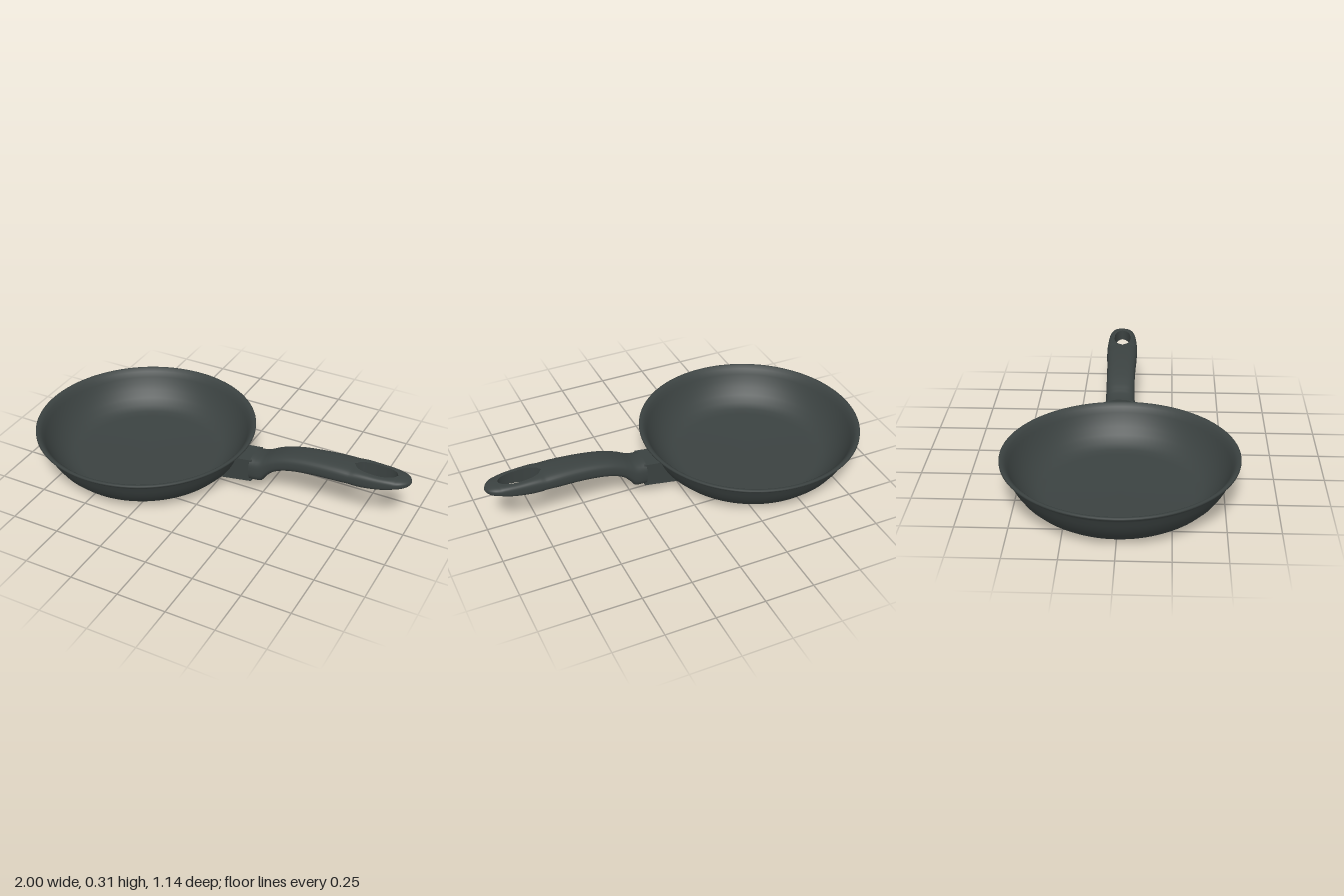
import * as THREE from 'three';
import { mergeVertices, mergeGeometries } from 'three/addons/utils/BufferGeometryUtils.js';

// Surface through rows of points; flip reverses the facing
function grid(rows, flip) {
  const n = rows[0].length, idx = [];
  for (let i = 0; i < rows.length - 1; i++) {
    for (let j = 0; j < n - 1; j++) {
      const a = i * n + j, b = a + 1, c = a + n, d = c + 1;
      idx.push(...(flip ? [a, c, b, b, c, d] : [a, b, c, b, d, c]));
    }
  }
  const g = new THREE.BufferGeometry().setFromPoints(rows.flat());
  g.setIndex(idx);
  return g;
}

// Handle stations: x, bottom y, top y, centre z, half width
const stations = [
  [0.19, 0.078, 0.215, -0.025, 0.080],
  [0.22, 0.079, 0.218, -0.026, 0.080],
  [0.25, 0.084, 0.226, -0.027, 0.078],
  [0.275, 0.115, 0.238, -0.028, 0.076],
  [0.31, 0.153, 0.255, -0.029, 0.075],
  [0.37, 0.182, 0.277, -0.030, 0.075],
  [0.45, 0.200, 0.294, -0.031, 0.076],
  [0.55, 0.211, 0.305, -0.032, 0.079],
  [0.65, 0.217, 0.310, -0.034, 0.083],
  [0.75, 0.225, 0.308, -0.036, 0.083],
  [0.84, 0.237, 0.305, -0.038, 0.078],
  [0.90, 0.247, 0.306, -0.040, 0.071],
  [0.95, 0.257, 0.306, -0.042, 0.059],
  [0.98, 0.266, 0.300, -0.044, 0.040],
  [0.995, 0.275, 0.291, -0.045, 0.018],
  [1.0, 0.283, 0.284, -0.045, 0.001],
];

function buildHandle(material) {
  const spline = (f) => new THREE.CatmullRomCurve3(stations.map(f), false, 'catmullrom', 0.5);
  const topCurve = spline(([x, , yt, z]) => new THREE.Vector3(x, yt, z));
  const lowCurve = spline(([x, yb, , , w]) => new THREE.Vector3(x, yb, w));
  const STEPS = 150, SIDES = 18;
  const sections = [];
  for (let i = 0; i <= STEPS; i++) {
    const t = topCurve.getPoint(i / STEPS), b = lowCurve.getPoint(i / STEPS);
    const q = Math.min(1, Math.abs((t.x - 0.825) / 0.105));
    const hole = 0.045 * Math.sqrt(1 - q ** 2.4);
    // shallow channel along the underside, fading out at both ends
    const channel = 0.022 * THREE.MathUtils.smoothstep(t.x, 0.25, 0.33) *
      (1 - THREE.MathUtils.smoothstep(t.x, 0.7, 0.8));
    sections.push({ x: t.x, yt: t.y, yb: b.y, zc: t.z, w: b.z, hole, channel });
  }
  const half = (p, s) => {
    const row = [], mid = (p.yt + p.yb) / 2, hy = (p.yt - p.yb) / 2;
    for (let j = 0; j <= SIDES; j++) {
      const a = Math.PI / 2 - Math.PI * j / SIDES;
      const u = j === 0 || j === SIDES ? 0 : Math.cos(a) ** 0.7;
      const v = Math.sign(Math.sin(a)) * Math.abs(Math.sin(a)) ** 0.7;
      const dent = v < 0 ? p.channel * (1 - THREE.MathUtils.smoothstep(u, 0.45, 0.75)) : 0;
      row.push(new THREE.Vector3(p.x, mid + hy * v + dent, p.zc + s * (p.hole + (p.w - p.hole) * u)));
    }
    return row;
  };

  const skins = [], walls = [], caps = [];
  const first = sections.findIndex((p) => p.hole > 0) - 1;
  const last = sections.findLastIndex((p) => p.hole > 0) + 1;
  for (const s of [1, -1]) {
    const rows = sections.map((p) => half(p, s));
    skins.push(grid(rows, s < 0));
    // inside of the hanging hole
    walls.push(grid(rows.slice(first, last + 1).map((r) => [r[SIDES], r[0]]), s < 0));
    // flat end against the bracket
    const p = sections[0];
    const centre = rows[0].map(() => new THREE.Vector3(p.x, (p.yt + p.yb) / 2, p.zc));
    caps.push(grid([centre, rows[0]], s < 0));
  }
  const handle = new THREE.Group();
  handle.name = 'handle';
  for (const [name, parts] of [['grip', skins], ['hangingHole', walls], ['collarEnd', caps]]) {
    const g = mergeVertices(mergeGeometries(parts), 1e-5);
    g.computeVertexNormals();
    const mesh = new THREE.Mesh(g, material);
    mesh.name = name;
    handle.add(mesh);
  }
  return handle;
}

export function createModel() {
  const model = new THREE.Group();
  model.name = 'fryingPan';
  const darkGrey = new THREE.MeshStandardMaterial({ color: 0x3b4241 });
  darkGrey.name = 'darkGrey';

  // Pan bowl: underside, outer wall, rolled rim, inner wall, cooking floor
  const profile = [
    [0, 0.005], [0.36, 0.005], [0.39, 0.009], [0.42, 0.02], [0.455, 0.046], [0.49, 0.082],
    [0.515, 0.12], [0.533, 0.155], [0.544, 0.185], [0.553, 0.202], [0.568, 0.209],
    [0.572, 0.214], [0.572, 0.221], [0.567, 0.224], [0.556, 0.222], [0.541, 0.208],
    [0.529, 0.18], [0.515, 0.15], [0.495, 0.115], [0.468, 0.08], [0.435, 0.051],
    [0.4, 0.032], [0.36, 0.025], [0, 0.023],
  ].map(([r, y]) => new THREE.Vector2(r, y));
  const bowl = new THREE.Mesh(new THREE.LatheGeometry(profile, 96), darkGrey);
  bowl.name = 'bowl';
  bowl.position.x = -0.428;
  bowl.rotation.z = 0.009;
  model.add(bowl);

  // Bracket joining bowl and handle
  const side = new THREE.Shape([
    [0.0, 0.046], [0.2, 0.08], [0.2, 0.205], [0.145, 0.198],
    [0.113, 0.195], [0.092, 0.15], [0.06, 0.1],
  ].map(([x, y]) => new THREE.Vector2(x, y)));
  const bracket = new THREE.Mesh(
    new THREE.ExtrudeGeometry(side, { depth: 0.134, bevelEnabled: false }), darkGrey);
  bracket.name = 'bracket';
  bracket.position.z = -0.092;
  model.add(bracket);

  model.add(buildHandle(darkGrey));
  return model;
}
